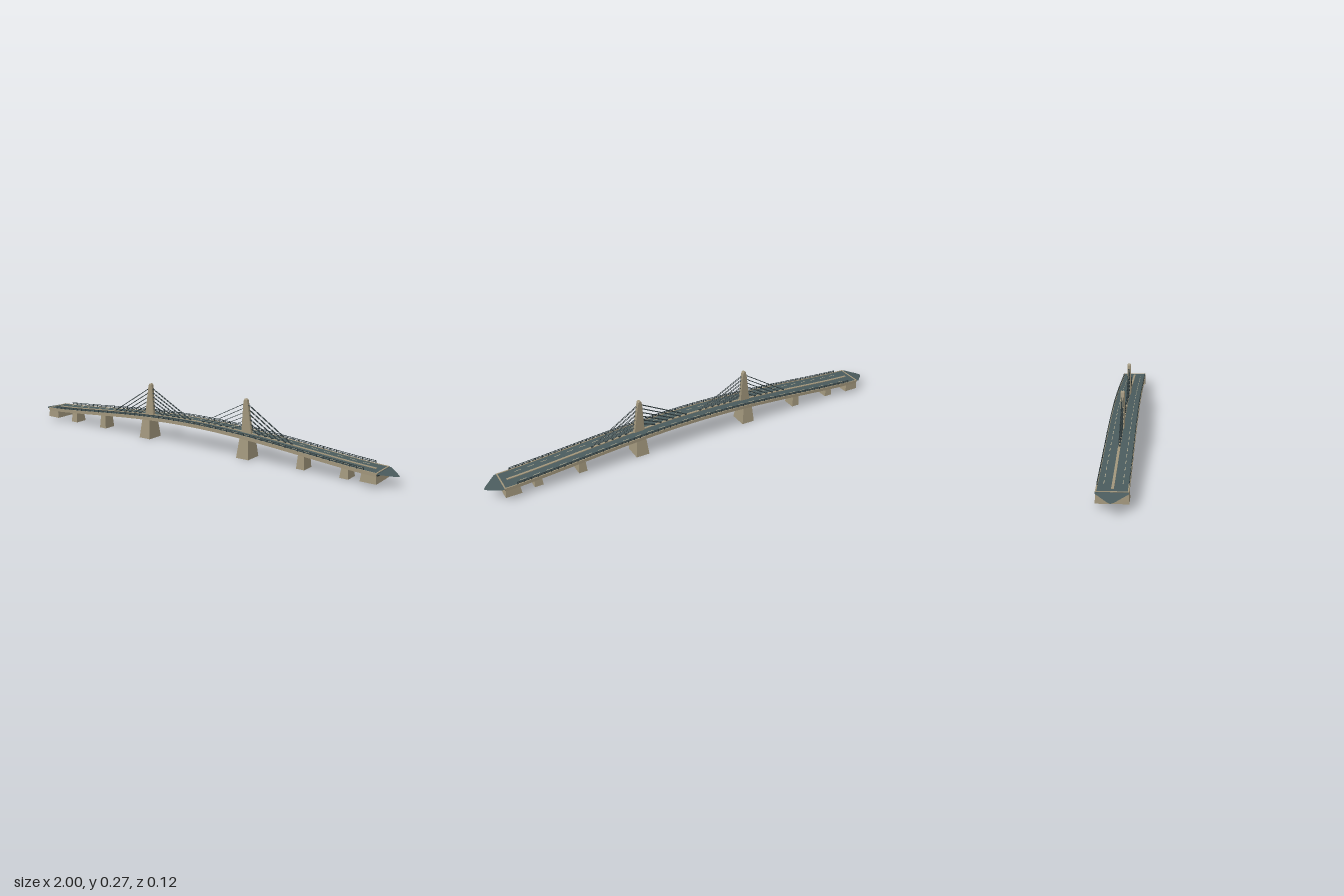
import * as THREE from 'three';

const paint = (name, color, side = THREE.FrontSide) => {
  const m = new THREE.MeshStandardMaterial({ color, side });
  m.name = name;
  return m;
};

// Height of the road surface along the arching deck
const deckY = x => 0.063 + 0.057 * Math.pow(Math.max(0, Math.cos((x / 0.93) * Math.PI / 2)), 1.4);

export function createModel() {
  const root = new THREE.Group();
  root.name = 'cableStayedBridge';
  const stone = paint('stone', 0xa0957b);
  const road = paint('road', 0x4a5b5d);
  const roadSheet = paint('roadSheet', 0x4a5b5d, THREE.DoubleSide);
  const steel = paint('darkSteel', 0x303c3e);
  const line = paint('laneMarking', 0xb9b196);

  const add = (name, geometry, material, parent = root) => {
    const mesh = new THREE.Mesh(geometry, material);
    mesh.name = name;
    parent.add(mesh);
    return mesh;
  };

  // Sweep a [z, height] section along the deck between x0 and x1
  const sweep = (name, section, x0, x1, material, steps = 40, parent = root) => {
    const shape = new THREE.Shape(section.map(([z, y]) => new THREE.Vector2(-z, y)));
    const g = new THREE.ExtrudeGeometry(shape, { depth: x1 - x0, steps, bevelEnabled: false });
    g.rotateY(Math.PI / 2).translate(x0, 0, 0);
    const p = g.attributes.position;
    for (let i = 0; i < p.count; i++) p.setY(i, p.getY(i) + deckY(p.getX(i)));
    g.computeVertexNormals();
    return add(name, g, material, parent);
  };
  const strip = (z, w, y0, y1) => [[z - w, y0], [z + w, y0], [z + w, y1], [z - w, y1]];

  // Block narrowing towards its top
  const taper = (name, x, y0, y1, bottom, top, material) => {
    const g = new THREE.BoxGeometry(2, y1 - y0, 2);
    const p = g.attributes.position;
    for (let i = 0; i < p.count; i++) {
      const [sx, sz] = p.getY(i) > 0 ? top : bottom;
      p.setXYZ(i, x + p.getX(i) * sx, p.getY(i) + (y0 + y1) / 2, p.getZ(i) * sz);
    }
    g.computeVertexNormals();
    add(name, g, material);
  };

  const rod = (name, a, b, r, material, parent) => {
    const d = b.clone().sub(a);
    const m = add(name, new THREE.CylinderGeometry(r, r, d.length(), 6), material, parent);
    m.position.copy(a).add(b).multiplyScalar(0.5);
    m.quaternion.setFromUnitVectors(new THREE.Vector3(0, 1, 0), d.normalize());
  };

  // Road slab, rounded girder below and stone edge beams
  sweep('roadDeck', strip(0, 0.056, -0.007, 0), -0.93, 0.93, road);
  sweep('girder', [[-0.056, -0.007], [-0.05, -0.014], [-0.028, -0.018], [0, -0.019],
    [0.028, -0.018], [0.05, -0.014], [0.056, -0.007]], -0.925, 0.925, steel);
  sweep('median', strip(0, 0.005, 0, 0.003), -0.9, 0.9, stone);

  for (const s of [-1, 1]) {
    sweep('edgeBeam', strip(s * 0.0585, 0.0025, -0.013, 0.002), -0.925, 0.925, stone);

    // Railings
    const railing = new THREE.Group();
    railing.name = 'railing';
    root.add(railing);
    for (const y of [0.006, 0.012])
      sweep('rail', strip(s * 0.0585, 0.001, y - 0.0012, y + 0.0012), -0.87, 0.87, steel, 40, railing);
    for (let i = 0; i <= 58; i++) {
      const x = -0.87 + i * 0.03;
      const post = add('railPost', new THREE.BoxGeometry(0.003, 0.013, 0.003), steel, railing);
      post.position.set(x, deckY(x) + 0.0065, s * 0.0585);
    }

    // Dashed lane lines
    for (let i = 0; i < 29; i++) {
      const x = -0.855 + i * 0.06;
      sweep('laneDash', strip(s * 0.035, 0.0012, 0, 0.0008), x, x + 0.03, line, 2);
    }
  }

  for (const s of [-1, 1]) {
    // Supports
    taper('mainPier', s * 0.283, 0, 0.1, [0.032, 0.042], [0.021, 0.03], stone);
    taper('outerPier', s * 0.57, 0.004, 0.078, [0.02, 0.031], [0.014, 0.025], stone);
    taper('endPier', s * 0.773, 0.004, 0.058, [0.02, 0.031], [0.014, 0.025], stone);
    taper('abutment', s * 0.893, 0.019, 0.06, [0.036, 0.062], [0.03, 0.059], stone);

    // Joint across the road end
    const joint = add('endJoint', new THREE.BoxGeometry(0.006, 0.005, 0.122), stone);
    joint.position.set(s * 0.925, 0.0625, 0);

    // Pointed approach apron
    const apron = new THREE.Shape([[0.926, -0.061], [0.938, -0.061], [0.99, -0.014], [1, 0],
      [0.99, 0.014], [0.938, 0.061], [0.926, 0.061]].map(([x, z]) => new THREE.Vector2(s * x, z)));
    const ag = new THREE.ShapeGeometry(apron).rotateX(-Math.PI / 2);
    const p = ag.attributes.position;
    for (let i = 0; i < p.count; i++) p.setY(i, 0.063 - (Math.abs(p.getX(i)) - 0.926) * 0.2);
    ag.computeVertexNormals();
    add('approachApron', ag, roadSheet);

    // Leaning tower
    const outline = [[0.256, 0.1], [0.306, 0.1], [0.284, 0.24], [0.279, 0.26],
      [0.275, 0.263], [0.27, 0.263], [0.267, 0.258], [0.264, 0.24]];
    const tower = new THREE.Shape(outline.map(([x, y]) => new THREE.Vector2(s * x, y)));
    const tg = new THREE.ExtrudeGeometry(tower,
      { depth: 0.013, bevelSize: 0.0025, bevelThickness: 0.0025, bevelSegments: 1 });
    add('tower', tg.translate(0, 0, -0.0065), stone);

    // Fan of paired cables on both sides of the tower
    const cables = new THREE.Group();
    cables.name = 'stayCables';
    root.add(cables);
    for (const dir of [-1, 1]) {
      for (let i = 0; i < 6; i++) {
        const foot = s * (0.273 + dir * (0.07 + i * 0.033));
        const y = deckY(foot) + 0.004;
        for (const z of [-0.003, 0.003])
          rod('cable', new THREE.Vector3(foot, y, z),
            new THREE.Vector3(s * 0.274, 0.147 + i * 0.02, z), 0.0013, steel, cables);
        const anchor = add('cableAnchor', new THREE.BoxGeometry(0.01, 0.005, 0.008), steel, cables);
        anchor.position.set(foot, y, 0);
      }
    }
  }
  return root;
}
